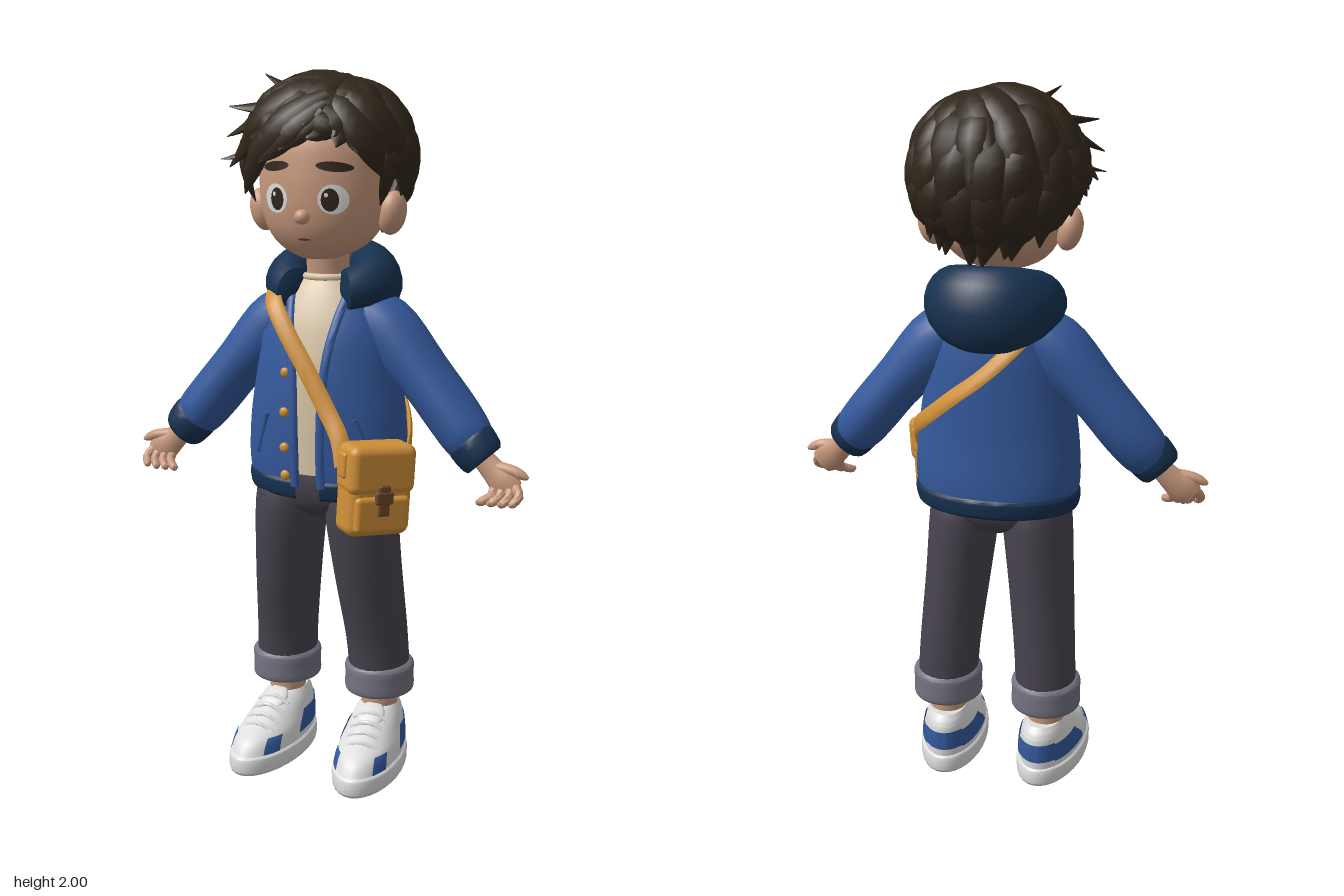
import * as THREE from 'three';
import { mergeVertices, toCreasedNormals } from 'three/addons/utils/BufferGeometryUtils.js';
import { RoundedBoxGeometry } from 'three/addons/geometries/RoundedBoxGeometry.js';

const V = (x, y, z) => new THREE.Vector3(x, y, z);
const clamp = THREE.MathUtils.clamp;

function material(name, color, side = THREE.FrontSide) {
  const m = new THREE.MeshStandardMaterial({ color, side });
  m.name = name;
  return m;
}

// Catmull-Rom blend through rows of numbers, t = 0..1
function mix(rows, t) {
  const n = rows.length - 1, k = clamp(t, 0, 1) * n, i = Math.min(Math.floor(k), n - 1), f = k - i;
  const [a, b, c, d] = [-1, 0, 1, 2].map(o => rows[clamp(i + o, 0, n)]);
  return b.map((_, q) => b[q] + 0.5 * f * (c[q] - a[q] + f * (2 * a[q] - 5 * b[q] + 4 * c[q] - d[q] + f * (3 * (b[q] - c[q]) + d[q] - a[q]))));
}
// parameter at which column 0 (height) reaches y
function tAt(rows, y) {
  let lo = 0, hi = 1;
  for (let i = 0; i < 24; i++) { const m = (lo + hi) / 2; if (mix(rows, m)[0] < y) lo = m; else hi = m; }
  return lo;
}
// front depth of a ring profile at (x, y)
function faceOf(rows, x, y) {
  const [, rx, rz, , cz] = mix(rows, tAt(rows, y));
  return cz + rz * Math.sqrt(Math.max(0, 1 - (x / rx) ** 2));
}
// grid surface from f(u, v, row)
function surf(f, nu, nv, crease = 0.8) {
  const pos = [], idx = [];
  for (let j = 0; j <= nv; j++) for (let i = 0; i <= nu; i++) pos.push(...f(i / nu, j / nv, j));
  for (let j = 0; j < nv; j++) for (let i = 0; i < nu; i++) {
    const a = j * (nu + 1) + i, b = a + 1, c = b + nu + 1, d = a + nu + 1;
    idx.push(a, b, c, a, c, d);
  }
  const g = new THREE.BufferGeometry();
  g.setAttribute('position', new THREE.Float32BufferAttribute(pos, 3));
  g.setIndex(idx);
  return toCreasedNormals(mergeVertices(g, 1e-5), crease);
}
// horizontal rings [y, rx, rz, cx, cz, gap]; gap opens the front, arc + y cut out a patch
function loft(rows, { nu = 32, nv = 20, cap = false, arc, y, grow = 0 } = {}) {
  const [t0, t1] = y ? y.map(h => tAt(rows, h)) : [0, 1];
  return surf((u, v, j) => {
    const s = cap ? clamp((j - 1) / (nv - 2), 0, 1) : v;
    const [h, rx, rz, cx, cz, gap = 0] = mix(rows, t0 + (t1 - t0) * s);
    const k = cap && (j === 0 || j === nv) ? 0 : 1;
    const lo = Math.asin(clamp(gap / rx, 0, 1));
    const a = arc ? arc[0] + (arc[1] - arc[0]) * u : lo + (2 * Math.PI - 2 * lo) * u;
    return [cx + k * (rx + grow) * Math.sin(a), h, cz + k * (rz + grow) * Math.cos(a)];
  }, nu, nv);
}
// closed limb along rows [x, y, z, halfWidth, halfThickness]; facing gives the thickness direction
function sweep(rows, facing = () => V(0, 0, 1), nu = 12, nv = 12) {
  return surf((u, v, j) => {
    const t = clamp((j - 1) / (nv - 2), 0, 1), p = mix(rows, t);
    const a = mix(rows, t - 0.01), b = mix(rows, t + 0.01), P = V(p[0], p[1], p[2]);
    const T = V(b[0] - a[0], b[1] - a[1], b[2] - a[2]).normalize();
    const N = facing(P).clone();
    N.addScaledVector(T, -N.dot(T)).normalize();
    const B = N.clone().cross(T), k = j === 0 || j === nv ? 0 : 1, q = u * 2 * Math.PI;
    P.addScaledVector(B, k * p[3] * Math.cos(q)).addScaledVector(N, k * p[4] * Math.sin(q));
    return P.toArray();
  }, nu, nv);
}

export function createModel() {
  const root = new THREE.Group();
  root.name = 'boyWithSatchel';
  const D = THREE.DoubleSide;
  const blue = material('jacketBlue', 0x34599c, D), navy = material('navyTrim', 0x16314f, D);
  const skin = material('skin', 0xc8997d), hair = material('darkBrownHair', 0x31271b, D);
  const mustard = material('mustardLeather', 0xcf9038), pants = material('charcoalTrousers', 0x48434e);
  const grey = material('turnUpGrey', 0x757482), cream = material('creamShirt', 0xdcc9ab);
  const white = material('white', 0xdedede), brown = material('buckleBrown', 0x6b4629);
  const add = (name, geo, mat, parent = root) => {
    const m = new THREE.Mesh(geo, mat);
    m.name = name;
    parent.add(m);
    return m;
  };
  const ball = (name, mat, x, y, z, sx, sy, sz, parent = root) => {
    const m = add(name, new THREE.SphereGeometry(1, 20, 14), mat, parent);
    m.position.set(x, y, z);
    m.scale.set(sx, sy, sz);
    return m;
  };

  // Head and face
  const head = [[1.5, .05, .05, 0, .05], [1.53, .115, .105, 0, .03], [1.58, .158, .145, 0, .018], [1.65, .178, .162, 0, .014],
    [1.74, .182, .168, 0, .008], [1.83, .17, .16, 0, 0], [1.92, .09, .09, 0, 0]];
  add('head', loft(head, { cap: true, nv: 24 }), skin);
  const decal = (name, mat, cx, cy, w, h, lift, tilt = 0) => add(name, surf((u, v) => {
    const a = u * 2 * Math.PI, px = w * (1 - v) * Math.cos(a), py = h * (1 - v) * Math.sin(a);
    const x = cx + px, y = cy + py + tilt * px;
    return [x, y, faceOf(head, x, y) + lift];
  }, 20, 3), mat);
  for (const s of [-1, 1]) {
    decal('eyeWhite', white, s * .081 + .003, 1.663, .038, .039, .003);
    decal('pupil', hair, s * .075 + .003, 1.662, .022, .03, .006);
    decal('eyeGlint', white, s * .075 - .005, 1.675, .005, .006, .008);
    decal('eyebrow', hair, s * .083 + .004, 1.747, .045, .013, .005, -s * .08);
    ball('ear', skin, s * .192, 1.622, .004, .036, .06, .042).rotation.set(0, -s * .4, -s * .2);
  }
  decal('mouth', brown, 0, 1.556, .018, .003, .003);
  ball('nose', skin, .002, 1.617, .175, .021, .02, .02);
  add('neck', loft([[1.38, .068, .065, 0, -.02], [1.45, .06, .058, 0, -.01], [1.54, .062, .06, 0, 0]]), skin);

  // Hair: a cap and overlapping locks lying on an ellipsoid
  const C = V(0, 1.765, -.018), R = V(.222, .208, .212);
  const onHair = (th, ph, k = 1) => V(Math.sin(ph) * Math.sin(th), Math.cos(ph), Math.sin(ph) * Math.cos(th)).multiply(R).multiplyScalar(k).add(C);
  const edge = th => (68 + 74 * Math.sin(th / 2) ** 2) * Math.PI / 180;
  add('hairCap', surf((u, v) => onHair(u * 2 * Math.PI, (1 - v) * edge(u * 2 * Math.PI)).toArray(), 40, 16), hair);
  const lock = (a, b, w, lift) => {
    const rows = [.35, .9, 1, .7, .06].map((k, i) => {
      const p = a.clone().lerp(b, i / 4);
      if (i > 0 && i < 4) {
        const q = p.clone().sub(C).divide(R);
        p.copy(q.normalize().multiplyScalar(lift).multiply(R).add(C));
      }
      return [p.x, p.y, p.z, w * k, w * k * .48];
    });
    add('hairLock', sweep(rows, P => P.clone().sub(C).normalize(), 8, 12), hair);
  };
  // each row: start angle, end angle, count, sideways shift of the crown
  [[.1, 1.25, 11, .08], [.5, 1.65, 14, .04], [.95, 2.1, 15, 0], [1.4, 2.45, 16, 0], [1.75, 2.8, 15, 0]].forEach(([p0, p1, n, dx], r) => {
    for (let i = 0; i < n; i++) {
      const th = (i + .5 * (r % 2)) / n * 2 * Math.PI, e = edge(th), wob = .09 * Math.sin(i * 2.4 + r);
      if (p0 + .25 > e) continue;
      const start = onHair(th, p0, .97), end = onHair(th - .2 + wob, Math.min(p1 + wob, e + .1), 1.11);
      start.x += dx;
      if (r > 2) end.y -= .035 * Math.max(0, -Math.cos(th));
      lock(start, end, .05, 1.025);
    }
  });
  // Fringe swept to one side, side locks and loose flicks: start, end, width
  [[.06, 1.92, .14, -.2, 1.67, .1, .045], [.06, 1.93, .14, -.16, 1.73, .16, .05], [.06, 1.91, .16, -.11, 1.755, .2, .045],
    [.06, 1.89, .175, -.045, 1.79, .215, .035], [.06, 1.95, .08, -.25, 1.74, .09, .05], [.04, 1.96, .05, -.272, 1.82, .06, .045],
    [.03, 1.96, .08, -.25, 1.9, .09, .04], [0, 1.95, .05, -.15, 1.985, .07, .03], [-.16, 1.82, .08, -.268, 1.76, .11, .03],
    [.06, 1.93, .12, .2, 1.72, .1, .05], [.06, 1.94, .09, .245, 1.76, .05, .055], [.06, 1.9, .165, .15, 1.82, .165, .035],
    [.18, 1.82, .07, .182, 1.645, .07, .026], [-.18, 1.82, .07, -.182, 1.645, .07, .026]
  ].forEach(([a, b, c, d, e, f, w]) => lock(V(a, b, c), V(d, e, f), w, 1.06));

  // Shirt
  add('shirt', loft([[.9, .205, .135, 0, -.015], [1.15, .2, .138, 0, -.012], [1.3, .175, .125, 0, -.017], [1.39, .13, .1, 0, -.02],
    [1.445, .073, .069, 0, -.015]], { cap: true }), cream);
  const neckband = add('shirtNeckband', new THREE.TorusGeometry(.068, .01, 8, 28), cream);
  neckband.position.set(0, 1.445, -.014);
  neckband.rotation.x = Math.PI / 2;

  // Jacket, open down the front
  const jacket = [[.86, .228, .156, 0, -.018, .04], [.93, .238, .16, 0, -.015, .038], [1.05, .23, .158, 0, -.01, .04],
    [1.17, .212, .154, 0, -.012, .045], [1.29, .192, .142, 0, -.018, .06], [1.38, .155, .115, 0, -.028, .08], [1.44, .1, .08, 0, -.03, .088]];
  add('jacketBody', loft(jacket, { nu: 40, nv: 24 }), blue);
  add('jacketHem', loft([[.832, .21, .145, 0, -.018, .036], [.836, .23, .157, 0, -.018, .036], [.86, .238, .162, 0, -.018, .036],
    [.885, .238, .162, 0, -.018, .036], [.892, .225, .15, 0, -.018, .036]], { nu: 40 }), navy);
  for (const s of [-1, 1]) {
    const edgeRows = [.87, .95, 1.05, 1.15, 1.25, 1.34, 1.4].map(y => {
      const g = mix(jacket, tAt(jacket, y))[5];
      return [s * g, y, faceOf(jacket, g, y), .013, .008];
    });
    add('jacketFrontEdge', sweep(edgeRows, undefined, 10, 20), blue);
    const arc = s > 0 ? [.5, .98] : [-.98, -.5];
    add('chestPocketFlap', loft(jacket, { arc, y: [1.25, 1.295], grow: .006, nu: 10, nv: 4 }), blue);
    add('sidePocketWelt', sweep([[s * .13, 1.07, .12, .009, .008], [s * .17, .95, .095, .009, .008]]), blue);

    // Sleeve, cuff and hand
    add('sleeve', sweep([[s * .1, 1.345, -.03, .075, .085], [s * .17, 1.295, -.03, .092, .09], [s * .28, 1.18, -.027, .076, .087],
      [s * .36, 1.085, -.022, .075, .086], [s * .41, 1.025, -.012, .072, .077], [s * .435, .998, -.006, .062, .062]], undefined, 24, 20), blue);
    add('sleeveCuff', sweep([[s * .415, 1.022, -.005, .062, .058], [s * .425, 1.01, -.004, .07, .064], [s * .455, .975, 0, .066, .06],
      [s * .466, .963, 0, .056, .052]], undefined, 24, 10), navy);
    add('palm', sweep([[s * .45, .98, 0, .03, .026], [s * .49, .94, .004, .036, .024], [s * .525, .91, .01, .045, .023],
      [s * .55, .888, .014, .036, .016]]), skin);
    add('thumb', sweep([[s * .495, .95, .006, .018, .017], [s * .545, .945, .012, .016, .015], [s * .575, .935, .014, .013, .012],
      [s * .592, .927, .015, .005, .005]]), skin);
    for (let i = 0; i < 4; i++) add('finger', sweep([[s * (.5 + .018 * i), .893 + .005 * i, .012, .015, .014],
      [s * (.495 + .026 * i), .873 + .003 * i, .032, .013, .013], [s * (.472 + .03 * i), .86 + .004 * (i === 3), .052, .012, .012],
      [s * (.465 + .03 * i), .862, .064, .005, .005]], () => V(.3, 1, .4), 8, 10), skin);

    // Trouser leg with turn-up
    const X = x => s * x - .008;
    add('trouserLeg', sweep([[X(.1), .87, -.015, .092, .115], [X(.108), .79, -.013, .099, .133], [X(.125), .6, -.029, .093, .124],
      [X(.143), .4, -.056, .088, .106], [X(.15), .27, -.065, .088, .1]], undefined, 24, 18), pants);
    add('trouserTurnUp', loft([[.222, .09, .094, X(.15), -.063], [.23, .101, .106, X(.15), -.063], [.27, .1, .108, X(.15), -.063],
      [.3, .101, .107, X(.15), -.063], [.312, .088, .1, X(.15), -.063]], { cap: true }), grey);
    add('ankle', loft([[.12, .052, .055, X(.15), -.065], [.25, .055, .058, X(.15), -.065]], { nv: 4 }), skin);

    // Sneaker
    const shoe = new THREE.Group();
    shoe.name = 'sneaker';
    shoe.position.set(X(.154), 0, 0);
    shoe.rotation.y = s * .08;
    root.add(shoe);
    add('sole', loft([[0, .088, .196, 0, .025], [.006, .096, .203, 0, .025], [.03, .098, .205, 0, .025], [.05, .096, .202, 0, .025],
      [.056, .09, .196, 0, .025]], { cap: true }), white, shoe);
    const upper = [[.05, .091, .196, 0, .025], [.09, .086, .182, 0, .01], [.122, .077, .148, 0, -.022], [.155, .066, .112, 0, -.053],
      [.18, .053, .075, 0, -.07]];
    add('upper', loft(upper, { cap: true }), white, shoe);
    const patch = (name, arc, y) => add(name, loft(upper, { arc, y, grow: .004, nu: 16, nv: 6 }), blue, shoe);
    patch('heelStripe', [Math.PI - .75, Math.PI + .75], [.08, .135]);
    for (const q of [-1, 1]) {
      patch('sidePatch', q > 0 ? [1.5, 2.5] : [-2.5, -1.5], [.075, .13]);
      patch('toePatch', q > 0 ? [.62, 1.0] : [-1.0, -.62], [.058, .098]);
    }
    ball('tongue', white, 0, .165, .02, .04, .014, .05, shoe).rotation.x = .5;
    for (let i = 0; i < 4; i++) {
      const z = .03 + .032 * i, y = .178 - .017 * i;
      add('lace', sweep([[-.05, y - .022, z - .006, .007, .006], [0, y, z, .007, .006], [.05, y - .022, z - .006, .007, .006]], () => V(0, 1, .5), 8, 10), white, shoe);
    }
  }
  add('trouserSeat', loft([[.765, .06, .08, -.008, -.02], [.8, .16, .12, -.008, -.02], [.86, .203, .138, -.004, -.02], [.93, .2, .133, 0, -.02]], { cap: true }), pants);
  [.9, .98, 1.08, 1.19, 1.29].forEach(y => ball('jacketButton', mustard, -.068, y, faceOf(jacket, -.068, y) + .004, .014, .014, .008));

  // Hood resting on the shoulders, leaning in at the top: [ring radius, half thickness, height, half height], front to back
  const hood = [[.118, .043, 1.41, .05], [.128, .067, 1.437, .075], [.122, .07, 1.425, .115]];
  add('hood', surf((u, v, j) => {
    const th = .58 + (2 * Math.PI - 1.16) * v, [r, tr, y, ty] = mix(hood, (1 - Math.cos(th)) / 2);
    const k = j === 0 || j === 40 ? 0 : 1, a = u * 2 * Math.PI, q = r + k * (tr * Math.cos(a) - .012 * Math.sin(a));
    return [q * Math.sin(th), y + k * ty * Math.sin(a), -.035 + q * Math.cos(th)];
  }, 18, 40), navy);

  // Satchel and its strap across the body
  const bag = new THREE.Group();
  bag.name = 'satchel';
  bag.position.set(.203, .895, .152);
  bag.rotation.set(0, .82, -.06);
  root.add(bag);
  const box = (name, mat, w, h, d, x, y, z, r = .02) => add(name, new RoundedBoxGeometry(w, h, d, 3, r), mat, bag).position.set(x, y, z);
  box('satchelBody', mustard, .19, .24, .105, 0, -.005, 0, .03);
  box('satchelFlap', mustard, .196, .135, .112, 0, .06, .005, .025);
  box('frontPocket', mustard, .16, .1, .03, 0, -.06, .049, .014);
  box('buckleStrap', brown, .034, .085, .014, 0, -.02, .063, .006);
  box('buckle', brown, .052, .035, .016, 0, -.012, .064, .006);
  for (const s of [-1, 1]) box('strapLoop', mustard, .018, .07, .045, s * .097, .07, 0, .008);
  const out = P => P.clone().sub(V(0, 1.1, -.02));
  const strap = [[.135, .96, .205], [.115, 1.03, .187], [.07, 1.1, .168], [0, 1.21, .152], [-.07, 1.31, .131], [-.12, 1.38, .095], [-.145, 1.415, .02],
    [-.14, 1.41, -.07], [-.09, 1.34, -.146], [0, 1.25, -.171], [.1, 1.17, -.16], [.18, 1.1, -.115], [.232, 1.05, -.04], [.262, 1.0, .04], [.268, .95, .1]];
  add('satchelStrap', sweep(strap.map(p => [...p, .025, .007]), out, 10, 60), mustard);
  return root;
}
